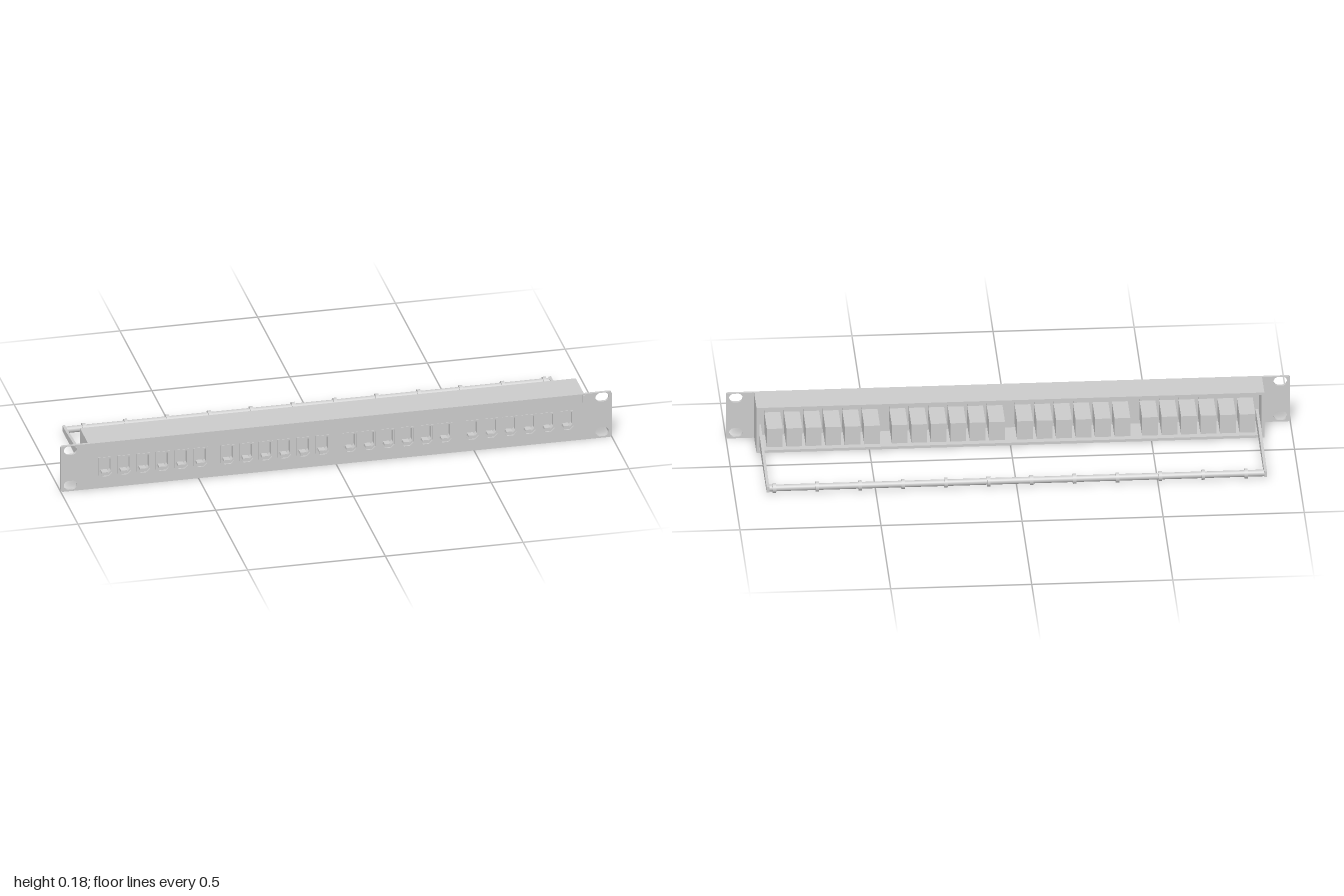
import * as THREE from 'three';

const material = new THREE.MeshStandardMaterial({ color: 0xcccccc, side: THREE.DoubleSide });
const H = 0.178, FRONT = 0.232, SHEET = 0.01;

function add(parent, name, geometry, x = 0, y = 0, z = 0) {
  const mesh = new THREE.Mesh(geometry, material);
  mesh.name = name;
  mesh.position.set(x, y, z);
  parent.add(mesh);
  return mesh;
}

// Box given by its limits
function block(parent, name, x0, x1, y0, y1, z0, z1) {
  return add(parent, name, new THREE.BoxGeometry(x1 - x0, y1 - y0, z1 - z0),
    (x0 + x1) / 2, (y0 + y1) / 2, (z0 + z1) / 2);
}

const extrude = (shape, depth) =>
  new THREE.ExtrudeGeometry(shape, { depth, bevelEnabled: false, curveSegments: 8 });

// Rounded rectangle outline for panels and mounting slots
function roundedRect(path, cx, cy, w, h, r) {
  const x = w / 2 - r, y = h / 2 - r;
  path.absarc(cx + x, cy + y, r, 0, Math.PI / 2);
  path.absarc(cx - x, cy + y, r, Math.PI / 2, Math.PI);
  path.absarc(cx - x, cy - y, r, Math.PI, Math.PI * 1.5);
  path.absarc(cx + x, cy - y, r, Math.PI * 1.5, Math.PI * 2);
  path.closePath();
  return path;
}

// Port outline: square top, chamfered bottom corners
function portOutline(path, cx, w, bottom, top) {
  const x = w / 2, c = 0.012;
  path.moveTo(cx - x, top);
  path.lineTo(cx - x, bottom + c);
  path.lineTo(cx - x + c, bottom);
  path.lineTo(cx + x - c, bottom);
  path.lineTo(cx + x, bottom + c);
  path.lineTo(cx + x, top);
  path.closePath();
  return path;
}

export function createModel() {
  const model = new THREE.Group();
  model.name = 'patchPanel';

  // Four groups of six ports
  const ports = [];
  for (const centre of [-0.665, -0.222, 0.222, 0.665])
    for (let i = 0; i < 6; i++) ports.push(centre + (i - 2.5) * 0.069);

  // Front plate with ears, mounting slots and port openings
  const plate = roundedRect(new THREE.Shape(), 0, H / 2, 2, H, 0.008);
  for (const x of [-0.965, 0.965])
    for (const y of [0.023, 0.159])
      plate.holes.push(roundedRect(new THREE.Path(), x, y, 0.048, 0.034, 0.0169));
  for (const x of ports) plate.holes.push(portOutline(new THREE.Path(), x, 0.05, 0.042, 0.118));
  add(model, 'frontPlate', extrude(plate, SHEET), 0, 0, FRONT - SHEET);

  // Shallow housing, open at the back
  const housing = new THREE.Group();
  housing.name = 'housing';
  model.add(housing);
  block(housing, 'topWall', -0.9, 0.9, H - SHEET, H, 0.1, 0.223);
  block(housing, 'bottomWall', -0.9, 0.9, 0, SHEET, 0.1, 0.223);
  for (const s of [-1, 1])
    block(housing, 'endWall', s * 0.895 - 0.005, s * 0.895 + 0.005, SHEET, H - SHEET, 0.1, 0.223);

  // Jacks: rear block, socket sleeve and thin front rim
  for (const x of ports) {
    const jack = new THREE.Group();
    jack.name = 'jack';
    jack.position.x = x;
    model.add(jack);
    block(jack, 'jackBody', -0.028, 0.028, 0.038, 0.11, 0.068, 0.2);
    const sleeve = portOutline(new THREE.Shape(), 0, 0.054, 0.038, 0.12);
    sleeve.holes.push(portOutline(new THREE.Path(), 0, 0.042, 0.048, 0.11));
    add(jack, 'socketSleeve', extrude(sleeve, 0.022), 0, 0, 0.2);
    const rim = portOutline(new THREE.Shape(), 0, 0.054, 0.039, 0.12);
    rim.holes.push(portOutline(new THREE.Path(), 0, 0.046, 0.045, 0.114));
    add(jack, 'socketRim', extrude(rim, 0.003), 0, 0, 0.231);
    block(jack, 'latchStep', -0.011, 0.011, 0.045, 0.057, 0.2, 0.226);
  }

  // Small raised tab at the upper corner
  block(model, 'cornerTab', 0.894, 0.904, 0.147, 0.175, 0.231, 0.236);

  // Tapered arms that carry the cable bar
  const arm = new THREE.Shape();
  arm.moveTo(-0.22, 0.01);
  arm.lineTo(0.232, 0.01);
  arm.lineTo(0.232, 0.032);
  arm.lineTo(0.19, 0.032);
  arm.lineTo(-0.1, 0.053);
  arm.lineTo(-0.22, 0.053);
  arm.closePath();
  for (const s of [-1, 1])
    add(model, 'supportArm', extrude(arm, 0.01), s * 0.882 - 0.005).rotation.y = Math.PI / 2;
  for (const child of model.children)
    if (child.name === 'supportArm') child.updateMatrix();

  // Cable bar with retaining rings
  const bar = new THREE.CylinderGeometry(0.012, 0.012, 1.77, 20).rotateZ(Math.PI / 2);
  add(model, 'cableBar', bar, 0, 0.02, -0.218);
  const ring = new THREE.CylinderGeometry(0.018, 0.018, 0.012, 20).rotateZ(Math.PI / 2);
  for (let i = 0; i < 12; i++) add(model, 'barRing', ring, -0.813 + i * 0.152, 0.02, -0.218);

  return model;
}
